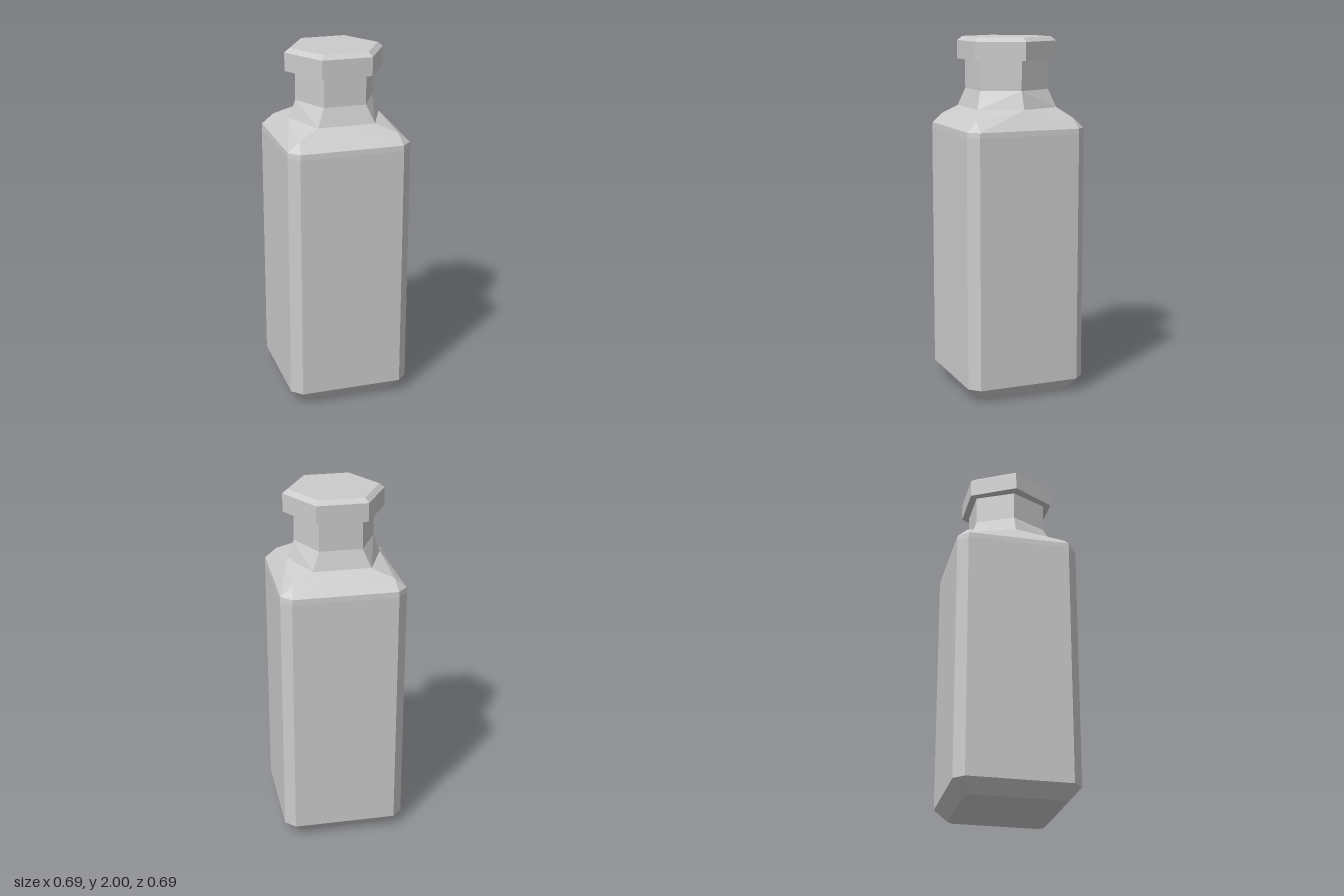
import * as THREE from 'three';

const material = new THREE.MeshStandardMaterial({ color: 0xcccccc, flatShading: true });

// Builds a faceted mesh from one quadrant's polygons (+x, +z), mirrored to all four
function mirroredMesh(name, faces) {
  const positions = [];
  for (const sx of [1, -1]) for (const sz of [1, -1]) {
    for (const face of faces) {
      const pts = face.map(([x, y, z]) => [x * sx, y, z * sz]);
      if (sx * sz < 0) pts.reverse(), pts.unshift(pts.pop());
      for (let i = 1; i < pts.length - 1; i++) positions.push(...pts[0], ...pts[i], ...pts[i + 1]);
    }
  }
  const geometry = new THREE.BufferGeometry();
  geometry.setAttribute('position', new THREE.Float32BufferAttribute(positions, 3));
  geometry.computeVertexNormals();
  const mesh = new THREE.Mesh(geometry, material);
  mesh.name = name;
  return mesh;
}

// Quads joining successive cross-sections
function loft(rings) {
  const faces = [];
  for (let r = 0; r < rings.length - 1; r++) {
    for (let i = 0; i < rings[r].length - 1; i++) {
      faces.push([rings[r][i], rings[r][i + 1], rings[r + 1][i + 1], rings[r + 1][i]]);
    }
  }
  return faces;
}

// Quarter of a square with chamfered corners
const squareRing = (y, half, flat) => [[0, y, half], [flat, y, half], [half, y, flat], [half, y, 0]];
// Quarter of a hexagon with points on the x axis
const hexRing = (y, cornerX, depth, pointX) => [[0, y, depth], [cornerX, y, depth], [pointX, y, 0]];

export function createModel() {
  const group = new THREE.Group();
  group.name = 'bottle';

  // Square body with bevelled base
  const bodyRings = [
    squareRing(0, 0.275, 0.245),
    squareRing(0.075, 0.345, 0.29),
    squareRing(1.475, 0.345, 0.29),
    squareRing(1.505, 0.343, 0.288),
  ];
  const base = [[0, 0, 0], ...bodyRings[0].slice().reverse()];
  group.add(mirroredMesh('body', [base, ...loft(bodyRings)]));

  // Shoulder blending the square into the hexagonal neck
  const [front, frontCorner, sideCorner, side] = bodyRings[3];
  const neckRings = [
    hexRing(1.61, 0.16, 0.235, 0.26),
    hexRing(1.71, 0.118, 0.203, 0.222),
    hexRing(1.88, 0.118, 0.203, 0.222),
  ];
  const [neckFront, neckCorner, neckSide] = neckRings[0];
  const tip = [0.277, 1.56, 0.284];
  group.add(mirroredMesh('shoulder', [
    [neckFront, front, frontCorner, tip, neckCorner],
    [frontCorner, sideCorner, tip],
    [neckSide, neckCorner, tip, sideCorner, side],
  ]));

  // Flared hexagonal neck
  group.add(mirroredMesh('neck', loft(neckRings)));

  // Hexagonal stopper with a bevelled top edge
  const capParts = [['cap', 0.28, 0.28, 1.875, 1.977], ['capBevel', 0.25, 0.28, 1.977, 2]];
  for (const [name, top, bottom, y0, y1] of capParts) {
    const geometry = new THREE.CylinderGeometry(top, bottom, y1 - y0, 6, 1, false, Math.PI / 2);
    const mesh = new THREE.Mesh(geometry, material);
    mesh.position.y = (y0 + y1) / 2;
    mesh.name = name;
    group.add(mesh);
  }

  return group;
}
